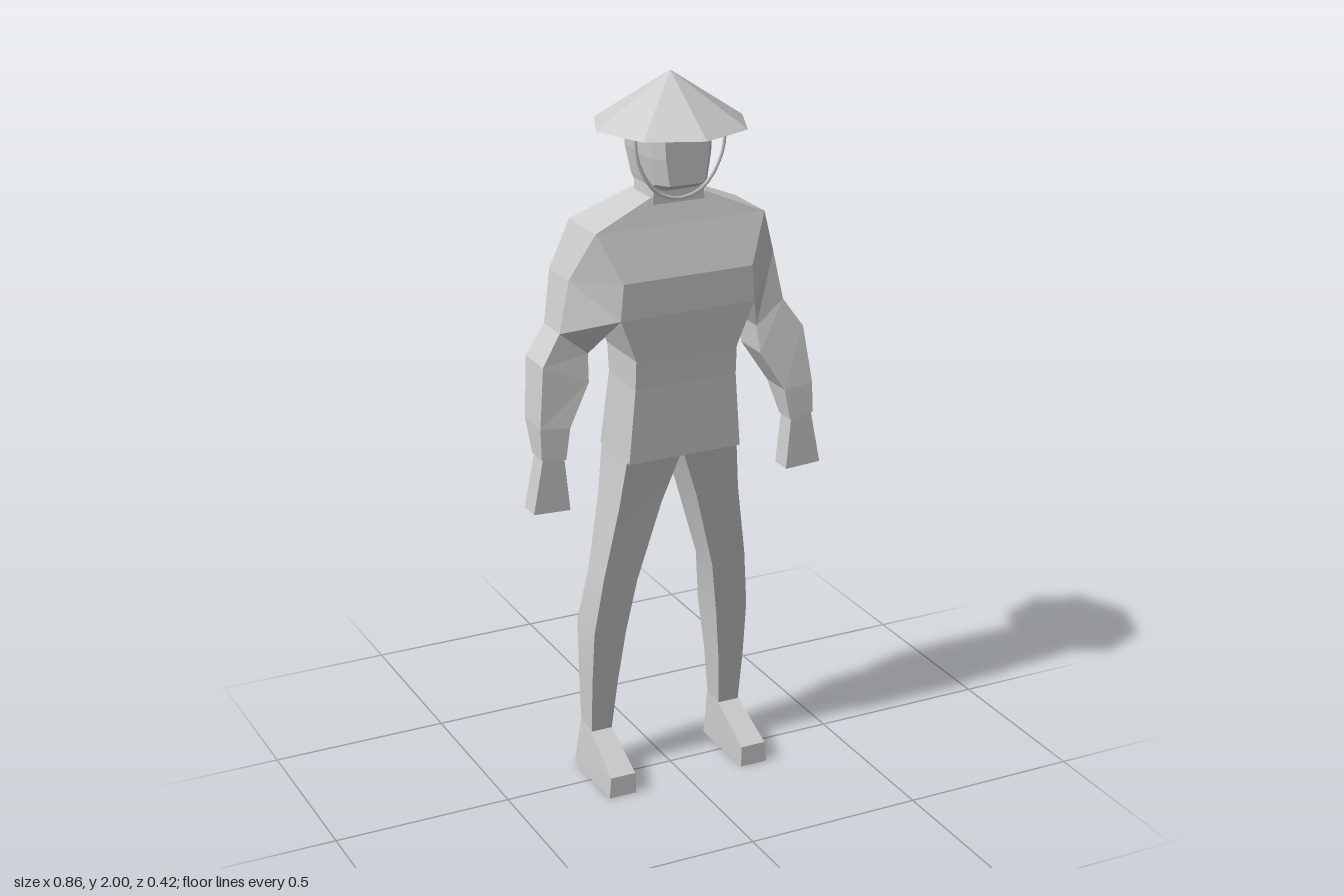
import * as THREE from 'three';

const grey = new THREE.MeshStandardMaterial({ color: 0xcccccc });
grey.name = 'plain grey';
const greyThin = grey;
greyThin.side = THREE.DoubleSide;

// Skin over rings of corners (top to bottom, anticlockwise from above).
// Each side is its own strip, so corners stay sharp even when smooth.
function loft(name, rings, smooth = false) {
  const pos = [], idx = [], n = rings[0].length;
  for (let j = 0; j < n; j++) {
    const base = pos.length / 3;
    rings.forEach((r) => pos.push(...r[j], ...r[(j + 1) % n]));
    for (let i = 0; i < rings.length - 1; i++) {
      const a = base + i * 2;
      idx.push(a, a + 2, a + 1, a + 1, a + 2, a + 3);
    }
  }
  [[rings[0], false], [rings[rings.length - 1], true]].forEach(([ring, down]) => {
    const base = pos.length / 3;
    ring.forEach((p) => pos.push(...p));
    for (let i = 1; i < n - 1; i++) {
      idx.push(base, base + (down ? i + 1 : i), base + (down ? i : i + 1));
    }
  });
  let geo = new THREE.BufferGeometry();
  geo.setAttribute('position', new THREE.Float32BufferAttribute(pos, 3));
  geo.setIndex(idx);
  if (!smooth) geo = geo.toNonIndexed();
  geo.computeVertexNormals();
  const mesh = new THREE.Mesh(geo, grey);
  mesh.name = name;
  return mesh;
}

// Four-cornered ring: outer x,y / inner x,y / front z / back z / inner front z
const quad = ([xo, yo, xi, yi, zf, zb, zi = zf]) =>
  [[xo, yo, zf], [xo, yo, zb], [xi, yi, zb], [xi, yi, zi]];

// Ring symmetric about x = 0
const band = ([y, w, zf, zb]) => quad([w, y, -w, y, zf, zb]);

// Mirror rings to the other side, keeping the corner direction
const sided = (rings, s) => (s > 0 ? rings
  : rings.map((r) => r.map(([x, y, z]) => [-x, y, z]).reverse()));

export function createModel() {
  const model = new THREE.Group();
  model.name = 'figure';

  // Jacket, from collar to hem
  model.add(loft('jacket', [
    [1.68, 0.08, 0.045, -0.075], [1.61, 0.245, 0.065, -0.1],
    [1.48, 0.187, 0.11, -0.105], [1.38, 0.195, 0.108, -0.1],
    [1.26, 0.148, 0.1, -0.08], [1.18, 0.148, 0.095, -0.07],
    [0.97, 0.165, 0.09, -0.093],
  ].map(band)));

  model.add(loft('neck', [
    [1.74, 0.07, 0.05, -0.065], [1.66, 0.075, 0.05, -0.065],
  ].map(band)));

  // Head with a bevelled face
  const headRing = ([y, w, zf, zb]) => [
    [w - 0.025, y, zf], [w, y, zf - 0.035], [w, y, zb],
    [-w, y, zb], [-w, y, zf - 0.035], [-w + 0.025, y, zf],
  ];
  model.add(loft('head', [
    [1.89, 0.09, 0.1, -0.095], [1.79, 0.086, 0.1, -0.093],
    [1.72, 0.075, 0.1, -0.08], [1.7, 0.07, 0.06, -0.068],
  ].map(headRing)));

  // Conical hat, open beneath
  const hatGeo = new THREE.ConeGeometry(0.21, 0.14, 8, 1, true).toNonIndexed();
  hatGeo.computeVertexNormals();
  const hat = new THREE.Mesh(hatGeo, greyThin);
  hat.name = 'hat';
  hat.position.y = 1.93;
  model.add(hat);

  // Chin strap
  const strapPath = new THREE.CatmullRomCurve3([
    [-0.131, 1.865], [-0.12, 1.78], [-0.07, 1.7], [0, 1.675],
    [0.07, 1.7], [0.12, 1.78], [0.131, 1.865],
  ].map(([x, y]) => new THREE.Vector3(x, y, 0.06)));
  const strap = new THREE.Mesh(new THREE.TubeGeometry(strapPath, 18, 0.005, 4), grey);
  strap.name = 'chinStrap';
  model.add(strap);

  const sleeve = [
    [0.245, 1.61, 0.187, 1.48, 0.065, -0.1, 0.11],
    [0.3, 1.48, 0.195, 1.38, 0.015, -0.108, 0.108],
    [0.33, 1.34, 0.25, 1.275, 0.02, -0.08],
    [0.385, 1.26, 0.255, 1.2, 0.035, -0.078],
    [0.405, 1.1, 0.32, 1.09, 0.057, -0.045],
    [0.405, 1.015, 0.335, 1.005, 0.062, 0],
  ].map(quad);
  const hand = [
    [0.4, 1.02, 0.34, 1.01, 0.06, 0.003],
    [0.43, 0.865, 0.325, 0.86, 0.062, 0],
  ].map(quad);
  const leg = [
    [0.163, 0.98, 0, 0.98, 0.075, -0.088],
    [0.18, 0.83, 0.053, 0.83, 0.055, -0.078],
    [0.215, 0.62, 0.115, 0.6, 0.03, -0.07],
    [0.235, 0.45, 0.14, 0.44, 0.008, -0.106],
    [0.235, 0.29, 0.158, 0.28, -0.01, -0.1],
    [0.23, 0.12, 0.17, 0.12, -0.03, -0.098],
  ].map(quad);
  const shoe = [
    [0.232, 0.135, 0.168, 0.135, -0.03, -0.1],
    [0.24, 0.06, 0.166, 0.06, 0.118, -0.108],
    [0.245, 0, 0.165, 0, 0.12, -0.115],
  ].map(quad);

  // Limbs, mirrored left and right
  for (const [s, side] of [[1, 'left'], [-1, 'right']]) {
    model.add(loft(side + 'Sleeve', sided(sleeve, s)));
    model.add(loft(side + 'Hand', sided(hand, s)));
    model.add(loft(side + 'Leg', sided(leg, s), true));
    model.add(loft(side + 'Shoe', sided(shoe, s)));
  }
  return model;
}
